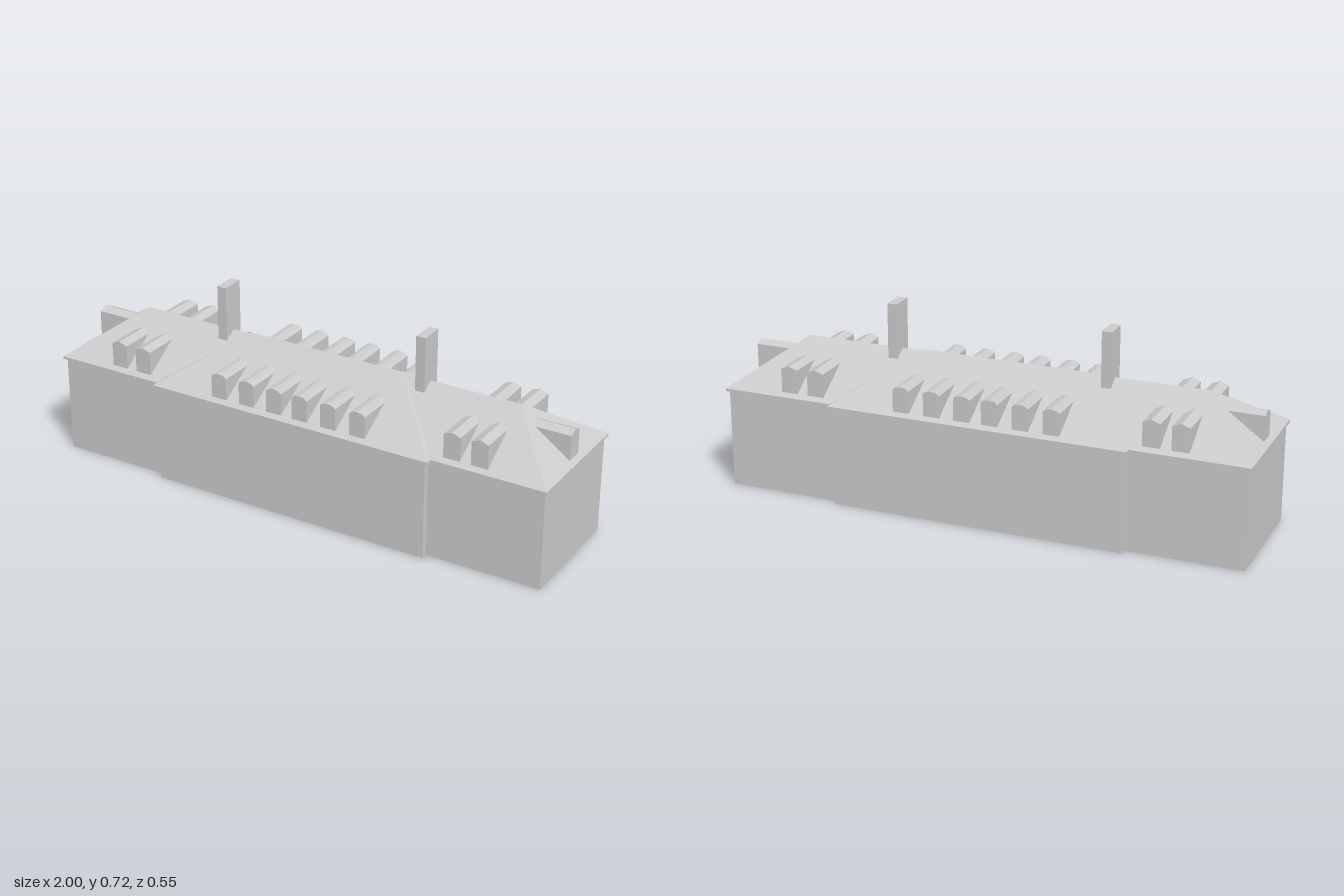
import * as THREE from 'three';
import { ConvexGeometry } from 'three/addons/geometries/ConvexGeometry.js';

export function createModel() {
  const model = new THREE.Group();
  model.name = 'longHouse';
  const material = new THREE.MeshStandardMaterial({ color: 0xcccccc, flatShading: true });

  const add = (name, geometry, parent = model) => {
    const mesh = new THREE.Mesh(geometry, material);
    mesh.name = name;
    parent.add(mesh);
    return mesh;
  };

  // Box given by its full width and depth and its bottom and top heights
  const block = (name, w, d, y0, y1, x = 0) =>
    add(name, new THREE.BoxGeometry(w, y1 - y0, d).translate(x, (y0 + y1) / 2, 0));

  // Hipped roof with a thin vertical eave band; x and z are half sizes
  const hipRoof = (name, x, z, bottom, eave, ridgeX, ridgeY) => {
    const points = [];
    for (const sx of [-1, 1]) {
      for (const sz of [-1, 1]) {
        for (const y of [bottom, eave]) points.push(new THREE.Vector3(sx * x, y, sz * z));
      }
      points.push(new THREE.Vector3(sx * ridgeX, ridgeY, 0));
    }
    add(name, new ConvexGeometry(points));
  };

  // Dormer: right half of its face, mirrored and run back into the roof
  const dormer = (name, half, front, back, x, turn) => {
    const left = half.filter(([px]) => px > 0).reverse().map(([px, y]) => [-px, y]);
    const shape = new THREE.Shape([...half, ...left].map(([px, y]) => new THREE.Vector2(px, y)));
    const geometry = new THREE.ExtrudeGeometry(shape, { depth: front - back, bevelEnabled: false });
    geometry.translate(x, 0, back);
    add(name, geometry).rotation.y = turn;
  };

  // Walls
  block('wingWalls', 1.98, 0.47, 0, 0.378);
  block('centreWalls', 1.108, 0.522, 0, 0.378);

  // Roofs
  hipRoof('wingRoof', 1, 0.247, 0.373, 0.383, 0.775, 0.544);
  hipRoof('centreRoof', 0.568, 0.273, 0.372, 0.384, 0.317, 0.549);

  // Chimneys
  for (const side of [-1, 1]) block('chimney', 0.037, 0.09, 0.5, 0.722, side * 0.411);

  // Dormers on both long slopes
  const archedFace = [[0.031, 0.393], [0.031, 0.478], [0.019, 0.488], [0, 0.491]];
  const gabledFace = [[0.032, 0.395], [0.032, 0.485], [0, 0.497]];
  const endFace = [[0.032, 0.398], [0.032, 0.491], [0, 0.504]];
  for (const side of [1, -1]) {
    const turn = side > 0 ? 0 : Math.PI;
    for (const x of [-0.288, -0.172, -0.057, 0.049, 0.165, 0.283]) {
      dormer('centreDormer', archedFace, 0.254, 0.08, x * side, turn);
    }
    for (const x of [-0.746, -0.641, 0.637, 0.742]) {
      dormer('wingDormer', gabledFace, 0.228, 0.06, x * side, turn);
    }
    // Dormer on the hipped end
    dormer('endDormer', endFace, 0.982, 0.81, 0, side * Math.PI / 2);
  }
  return model;
}
